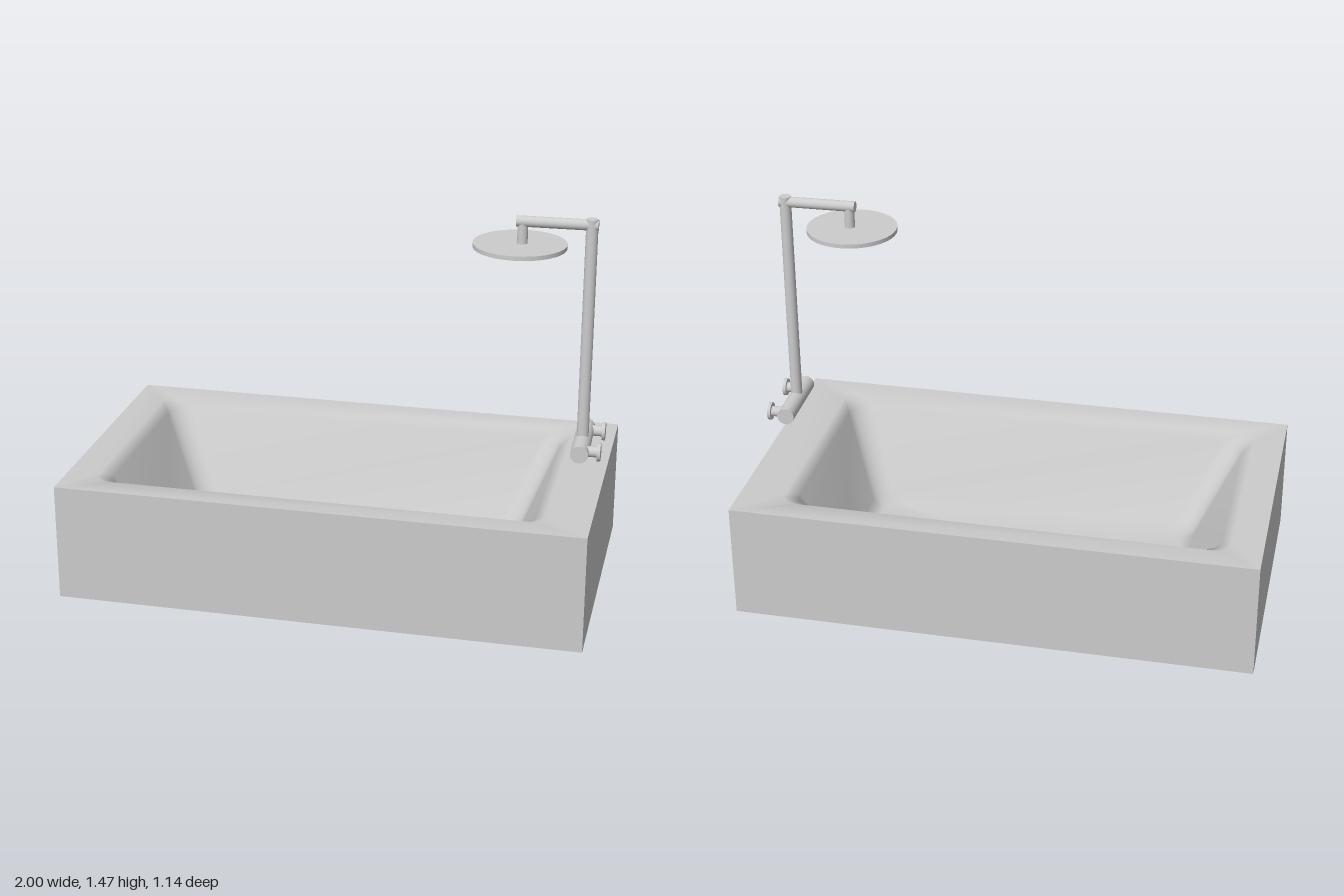
import * as THREE from 'three';

const material = new THREE.MeshStandardMaterial({ color: 0xcccccc });

function addMesh(parent, name, geometry, x = 0, y = 0, z = 0) {
  const mesh = new THREE.Mesh(geometry, material);
  mesh.name = name;
  mesh.position.set(x, y, z);
  parent.add(mesh);
  return mesh;
}

// Cylinder between two points
function addRod(parent, name, radius, from, to, sides = 32) {
  const a = new THREE.Vector3(...from), b = new THREE.Vector3(...to);
  const dir = b.clone().sub(a);
  const mesh = addMesh(parent, name, new THREE.CylinderGeometry(radius, radius, dir.length(), sides));
  mesh.position.copy(a).add(b).multiplyScalar(0.5);
  mesh.quaternion.setFromUnitVectors(new THREE.Vector3(0, 1, 0), dir.normalize());
}

// Rounded-rectangle loop at one height, same point count for every loop
function roundedLoop({ x0, x1, z, y, r }) {
  const steps = 6, points = [];
  const corners = [[x1 - r, z - r], [x0 + r, z - r], [x0 + r, r - z], [x1 - r, r - z]];
  corners.forEach(([cx, cz], c) => {
    for (let i = 0; i <= steps; i++) {
      const a = (c + i / steps) * Math.PI / 2;
      points.push([cx + r * Math.cos(a), y, cz + r * Math.sin(a)]);
    }
  });
  return points;
}

// Rim and basin surface skinned over loops, closed by a centre point
function basinGeometry(sections) {
  const loops = sections.map(roundedLoop);
  const n = loops[0].length, positions = loops.flat(2), index = [];
  for (let l = 0; l < loops.length; l++) {
    for (let i = 0; i < n; i++) {
      const a = l * n + i, c = l * n + (i + 1) % n;
      if (l === loops.length - 1) index.push(a, loops.length * n, c);
      else index.push(a, a + n, c, c, a + n, c + n);
    }
  }
  const last = sections[sections.length - 1];
  positions.push((last.x0 + last.x1) / 2, last.y, 0);
  const geometry = new THREE.BufferGeometry();
  geometry.setAttribute('position', new THREE.Float32BufferAttribute(positions, 3));
  geometry.setIndex(index);
  geometry.computeVertexNormals();
  return geometry;
}

export function createModel() {
  const model = new THREE.Group();
  model.name = 'bathtubWithShower';

  // Tub, turned very slightly
  const tub = new THREE.Group();
  tub.name = 'tub';
  tub.rotation.y = -0.0205;
  model.add(tub);

  // Outer panels: a box without its top
  const W = 1.978, H = 0.45, D = 1.095;
  const shell = new THREE.BoxGeometry(W, H, D);
  const faces = Array.from(shell.index.array);
  faces.splice(12, 6);
  shell.setIndex(faces);
  shell.clearGroups();
  addMesh(tub, 'tubPanels', shell, 0, H / 2, 0);

  // Flat rim rolling over into sloped walls and floor
  addMesh(tub, 'rimAndBasin', basinGeometry([
    { x0: -W / 2, x1: W / 2, z: D / 2, y: H, r: 0 },
    { x0: -0.87, x1: 0.82, z: 0.45, y: 0.448, r: 0.06 },
    { x0: -0.83, x1: 0.78, z: 0.41, y: 0.42, r: 0.08 },
    { x0: -0.67, x1: 0.65, z: 0.27, y: 0.11, r: 0.08 },
    { x0: -0.62, x1: 0.6, z: 0.22, y: 0.08, r: 0.06 },
  ]));

  // Shower
  const shower = new THREE.Group();
  shower.name = 'shower';
  model.add(shower);
  const px = 0.907, pz = 0.085;
  addRod(shower, 'mixerBar', 0.033, [px, 0.614, -0.075], [px, 0.614, 0.213]);
  addRod(shower, 'riserPipe', 0.022, [px, 0.614, pz], [px, 1.468, pz]);
  addRod(shower, 'overheadArm', 0.02, [0.637, 1.446, pz], [0.93, 1.446, pz]);
  addRod(shower, 'dropPipe', 0.019, [0.66, 1.36, pz], [0.66, 1.446, pz]);
  addRod(shower, 'showerHead', 0.17, [0.652, 1.349, pz], [0.652, 1.365, pz], 64);

  // Wall fittings: a stem and a flange for each
  for (const z of [-0.037, 0.17]) {
    addRod(shower, 'wallStem', 0.02, [px, 0.614, z], [0.972, 0.614, z]);
    addRod(shower, 'wallFlange', 0.034, [0.97, 0.614, z], [0.982, 0.614, z]);
  }
  return model;
}
